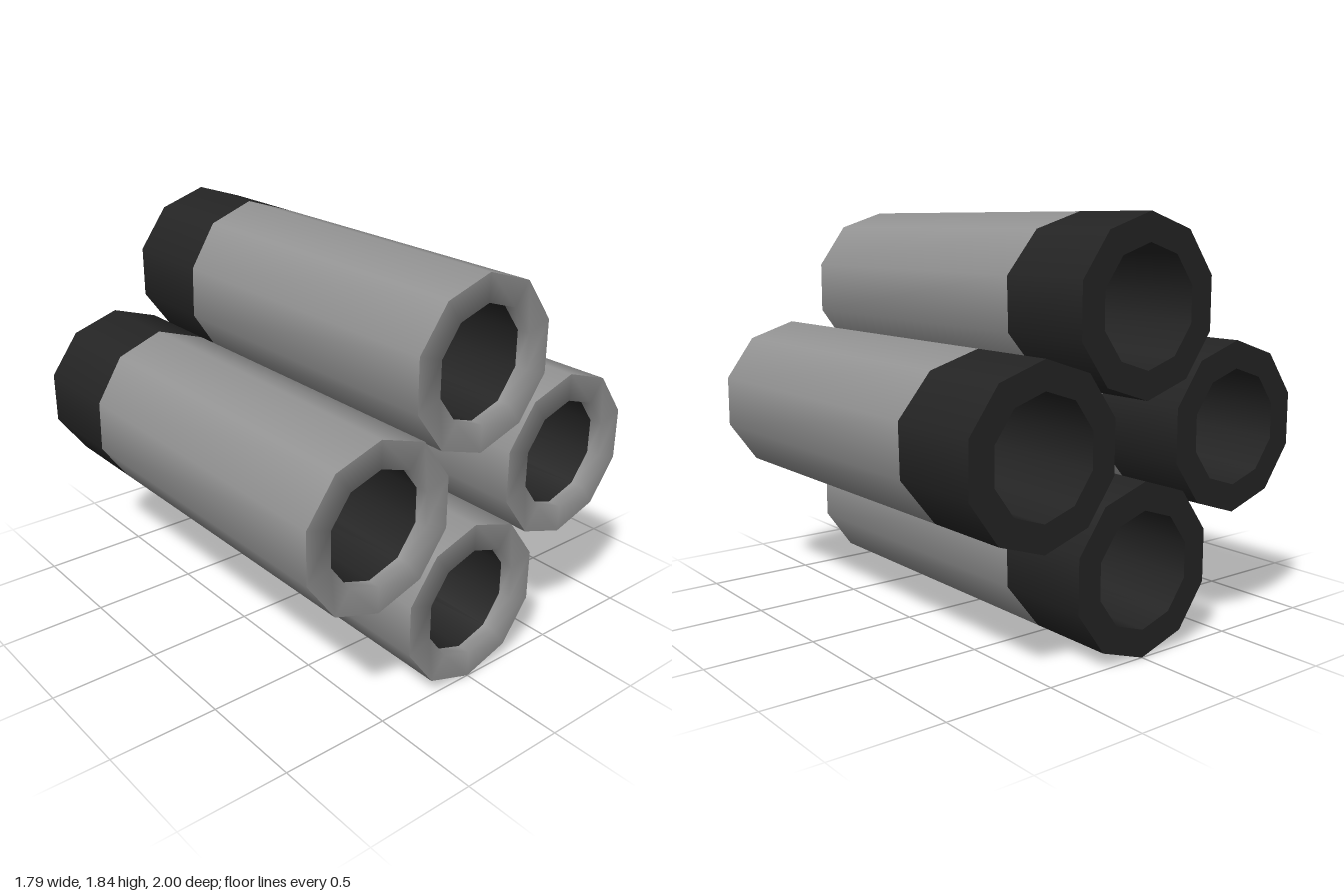
import * as THREE from 'three';

const OUTER = 0.377, INNER = 0.255, SIDES = 10, SEAM = -0.56, LIP = 0.94;

// Ten-sided shell around the z axis from [radius, z] points, with a vertex at top and bottom
function ring(name, points, material) {
  const g = new THREE.LatheGeometry(points.map(([r, z]) => new THREE.Vector2(r, z)), SIDES);
  g.rotateX(Math.PI / 2);
  // Uneven paint line between the grey body and the black rear
  const p = g.attributes.position;
  for (let i = 0; i < p.count; i++) {
    if (Math.abs(p.getZ(i) - SEAM) > 0.001) continue;
    const s = p.getY(i) / OUTER;
    p.setZ(i, -0.54 - 0.055 * s * s + 0.015 * s);
  }
  const mesh = new THREE.Mesh(g, material);
  mesh.name = name;
  return mesh;
}

export function createModel() {
  const grey = new THREE.MeshStandardMaterial({ color: 0x939393 });
  grey.name = 'grey metal';
  const black = new THREE.MeshStandardMaterial({ color: 0x242424 });
  black.name = 'black';

  const model = new THREE.Group();
  model.name = 'tubeCluster';

  // Four parallel tubes in a diamond
  const centres = { topTube: [0, 1.463], bottomTube: [0, 0.378], leftTube: [0.536, 0.92], rightTube: [-0.536, 0.92] };
  for (const [name, [x, y]] of Object.entries(centres)) {
    const tube = new THREE.Group();
    tube.name = name;
    tube.add(
      ring('body', [[OUTER, SEAM], [OUTER, 1]], grey),
      ring('frontLip', [[OUTER, 1], [INNER, 1], [INNER, LIP]], grey),
      ring('bore', [[INNER, LIP], [INNER, -1]], black),
      ring('rearRim', [[INNER, -1], [OUTER, -1]], black),
      ring('rearBand', [[OUTER, -1], [OUTER, SEAM]], black)
    );
    tube.position.set(x, y, 0);
    model.add(tube);
  }
  return model;
}
